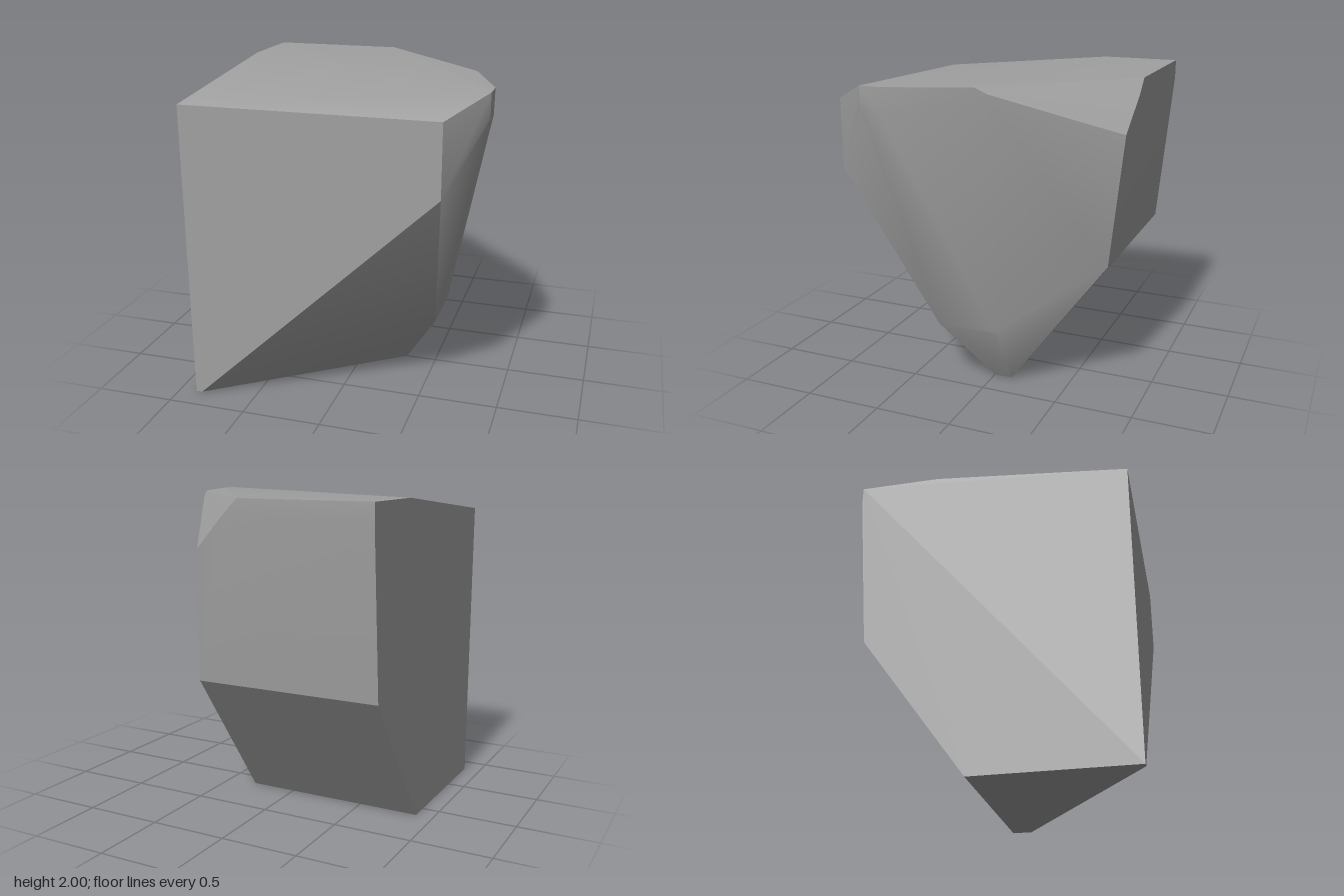
import * as THREE from 'three';
import { ConvexGeometry } from 'three/addons/geometries/ConvexGeometry.js';
import { toCreasedNormals } from 'three/addons/utils/BufferGeometryUtils.js';

export function createModel() {
  const group = new THREE.Group();
  group.name = 'rock';

  const stone = new THREE.MeshStandardMaterial({ color: 0xa0a0a0 });
  stone.name = 'stone grey';

  // Corners of the chipped block, ring by ring
  const corners = [
    // base
    [-0.89, 0, 0.85], [-0.85, 0, 0.85], [0.3, 0, 0], [0.3, 0, -0.12], [-0.89, 0, -0.12],
    // lower right flank and back bend
    [0.55, 0.43, 0.28], [0.55, 0.43, -0.12], [0.3, 0.88, -0.76], [-0.89, 0.88, -0.76],
    // front face
    [0.68, 1.44, 0.85], [0.68, 1.88, 0.85], [-0.89, 1.88, 0.85],
    // right tip
    [0.89, 1.85, 0.58], [0.89, 1.85, 0.46], [0.89, 2, 0.58], [0.89, 2, 0.44],
    // chipped back corner
    [0.7, 2, -0.06], [0.67, 1.96, -0.13], [0.25, 1.7, -0.83], [0.05, 1.91, -0.85], [-0.04, 2, -0.85],
    // top left edge
    [-0.89, 1.88, -0.85], [-0.89, 2, -0.85], [-0.89, 2, -0.35],
  ].map((p) => new THREE.Vector3(...p));

  // Shallow bends stay smooth, strong edges stay sharp
  const geometry = toCreasedNormals(new ConvexGeometry(corners), 0.5);
  const body = new THREE.Mesh(geometry, stone);
  body.name = 'rockBody';
  group.add(body);

  return group;
}
